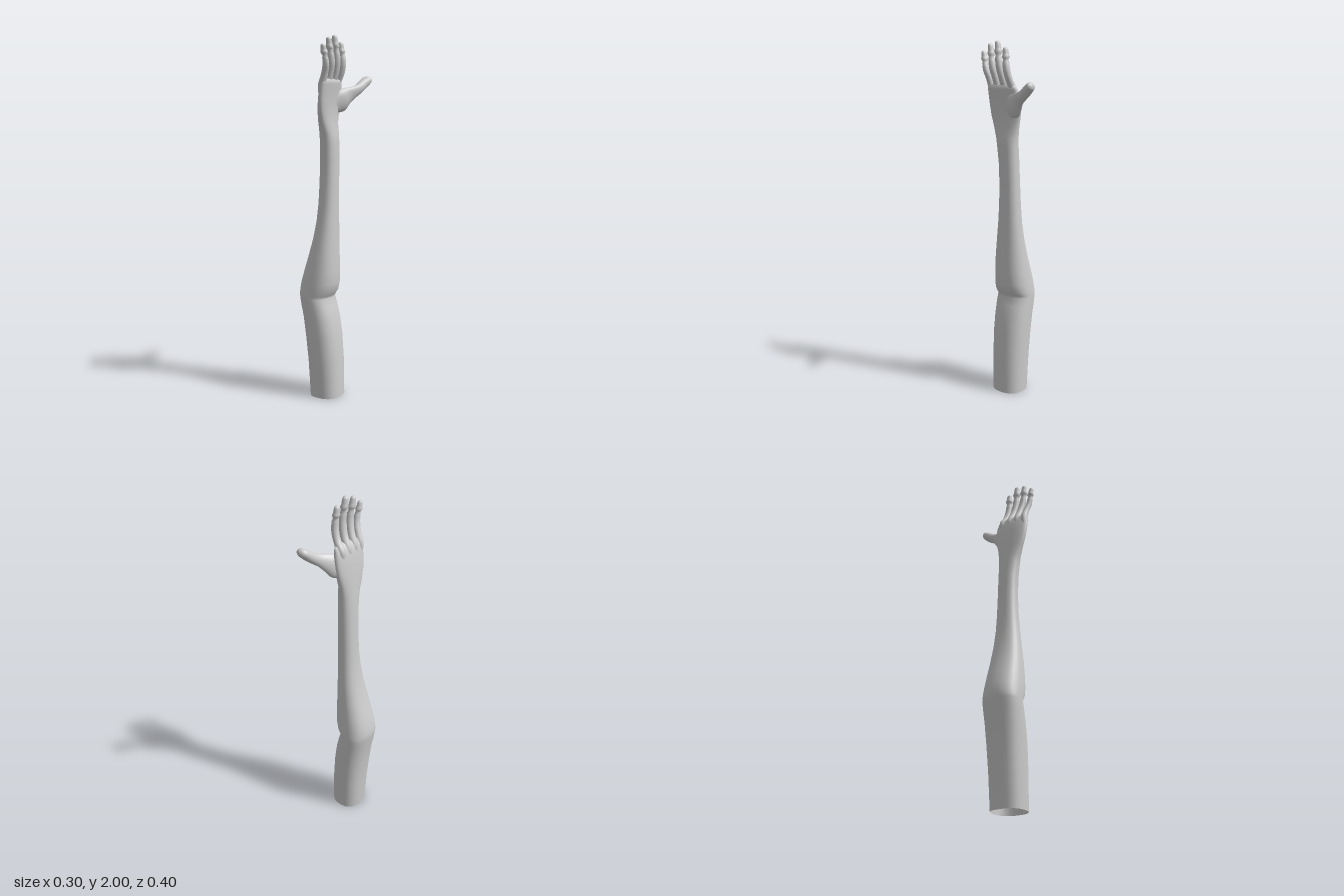
import * as THREE from 'three';

const SIDES = 32;
const vec = (x, y, z) => new THREE.Vector3(x, y, z);

// One superelliptic cross-section spanned by the axes u and v
function ring(centre, u, v, ru, rv, power = 2) {
  const bend = (t) => Math.sign(t) * Math.abs(t) ** (2 / power);
  return Array.from({ length: SIDES }, (_, i) => {
    const a = (i / SIDES) * Math.PI * 2;
    return centre.clone().addScaledVector(u, ru * bend(Math.cos(a))).addScaledVector(v, rv * bend(Math.sin(a)));
  });
}

// Smooth skin over a list of cross-sections
function loft(rings) {
  const index = [];
  for (let i = 0; i < rings.length - 1; i++) {
    for (let j = 0; j < SIDES; j++) {
      const k = (j + 1) % SIDES;
      const a = i * SIDES + j, b = i * SIDES + k;
      index.push(a, b, a + SIDES, b, b + SIDES, a + SIDES);
    }
  }
  const geometry = new THREE.BufferGeometry().setFromPoints(rings.flat());
  geometry.setIndex(index);
  geometry.computeVertexNormals();
  return geometry;
}

// Finger along a curve: rows are [x, y, z, ru, rv], ending in a rounded tip
function digit(rows, u, v) {
  const path = new THREE.CatmullRomCurve3(rows.map((r) => vec(r[0], r[1], r[2])));
  const radii = new THREE.CatmullRomCurve3(rows.map((r) => vec(r[3], r[4], 0)));
  const rings = [];
  for (let i = 0; i <= 20; i++) {
    const r = radii.getPoint(i / 20);
    rings.push(ring(path.getPoint(i / 20), u, v, r.x, r.y));
  }
  const end = path.getPoint(1), dir = path.getTangent(1), r = radii.getPoint(1);
  for (let i = 1; i <= 6; i++) {
    const a = (i / 6) * Math.PI / 2, s = Math.max(Math.cos(a), 0.001);
    rings.push(ring(end.clone().addScaledVector(dir, Math.sin(a) * Math.min(r.x, r.y)), u, v, r.x * s, r.y * s));
  }
  return loft(rings);
}

export function createModel() {
  const group = new THREE.Group();
  const skin = new THREE.MeshStandardMaterial({ color: 0xcccccc, side: THREE.DoubleSide });
  const add = (name, geometry) => {
    const mesh = new THREE.Mesh(geometry, skin);
    mesh.name = name;
    group.add(mesh);
  };
  const X = vec(1, 0, 0), BACK = vec(0, 0, -1);

  // Arm and palm: y, x min, x max, z min, z max; open at the shoulder end
  const sections = [
    [0, -0.09, 0.09, -0.04, 0.15],
    [0.2, -0.102, 0.086, -0.045, 0.155],
    [0.35, -0.117, 0.074, -0.049, 0.16],
    [0.45, -0.13, 0.058, -0.051, 0.162],
    [0.52, -0.143, 0.04, -0.052, 0.164],
    [0.565, -0.15, 0.024, -0.052, 0.165],
    [0.58, -0.152, 0.03, -0.052, 0.165],
    [0.605, -0.152, 0.048, -0.051, 0.165],
    [0.65, -0.145, 0.059, -0.048, 0.163],
    [0.72, -0.125, 0.061, -0.042, 0.157],
    [0.8, -0.1, 0.06, -0.034, 0.148],
    [0.9, -0.073, 0.058, -0.025, 0.134],
    [1, -0.055, 0.057, -0.018, 0.12],
    [1.1, -0.046, 0.057, -0.014, 0.11],
    [1.22, -0.04, 0.057, -0.011, 0.105],
    [1.34, -0.036, 0.059, -0.009, 0.107],
    [1.43, -0.031, 0.06, -0.008, 0.117],
    [1.48, -0.028, 0.057, -0.009, 0.126],
    [1.54, -0.023, 0.047, -0.016, 0.147],
    [1.6, -0.017, 0.046, -0.03, 0.165],
    [1.66, -0.01, 0.05, -0.037, 0.173],
    [1.71, -0.002, 0.056, -0.034, 0.175],
    [1.745, 0.007, 0.061, -0.027, 0.174],
    [1.765, 0.022, 0.062, -0.018, 0.168],
    [1.775, 0.04, 0.045, 0.03, 0.12],
  ];
  add('armAndPalm', loft(sections.map(([y, x0, x1, z0, z1]) =>
    ring(vec((x0 + x1) / 2, y, (z0 + z1) / 2), X, BACK, (x1 - x0) / 2, (z1 - z0) / 2, 2.4))));

  // Four fingers: base z, tip z, tip height, x offset, thickness
  const fingers = [
    ['indexFinger', 0.008, 0.026, 1.966, 0.008, 0.02],
    ['middleFinger', 0.057, 0.084, 2.0, 0.003, 0.0205],
    ['ringFinger', 0.106, 0.138, 1.986, -0.002, 0.02],
    ['littleFinger', 0.153, 0.189, 1.948, -0.006, 0.018],
  ];
  for (const [name, z0, z1, top, dx, r] of fingers) {
    const tip = top - r * 0.75;
    const at = (t) => [1.77 + (tip - 1.77) * t, z0 + (z1 - z0) * t];
    const row = (x, t, ru, rv) => [x + dx, ...at(t), r * ru, r * rv];
    add(name, digit([
      [0.022, 1.68, z0, r * 0.9, r * 0.9],
      [0.026, 1.74, z0, r * 1.3, r * 1.12],
      row(0.049, 0.15, 1.05, 1),
      row(0.063, 0.42, 1, 1),
      row(0.064, 0.68, 0.88, 0.88),
      row(0.06, 0.85, 0.88, 0.88),
      row(0.059, 1, 0.75, 0.75),
    ], X, BACK));
  }

  // Thumb, spreading backwards and outwards from the palm
  add('thumb', digit([
    [0.03, 1.625, 0.03, 0.04, 0.02],
    [0.046, 1.655, -0.012, 0.062, 0.032],
    [0.064, 1.684, -0.05, 0.048, 0.027],
    [0.086, 1.703, -0.083, 0.034, 0.022],
    [0.1, 1.722, -0.117, 0.029, 0.025],
    [0.109, 1.746, -0.15, 0.028, 0.028],
    [0.117, 1.767, -0.177, 0.024, 0.031],
  ], vec(0, 0.86, 0.5), X));

  return group;
}
